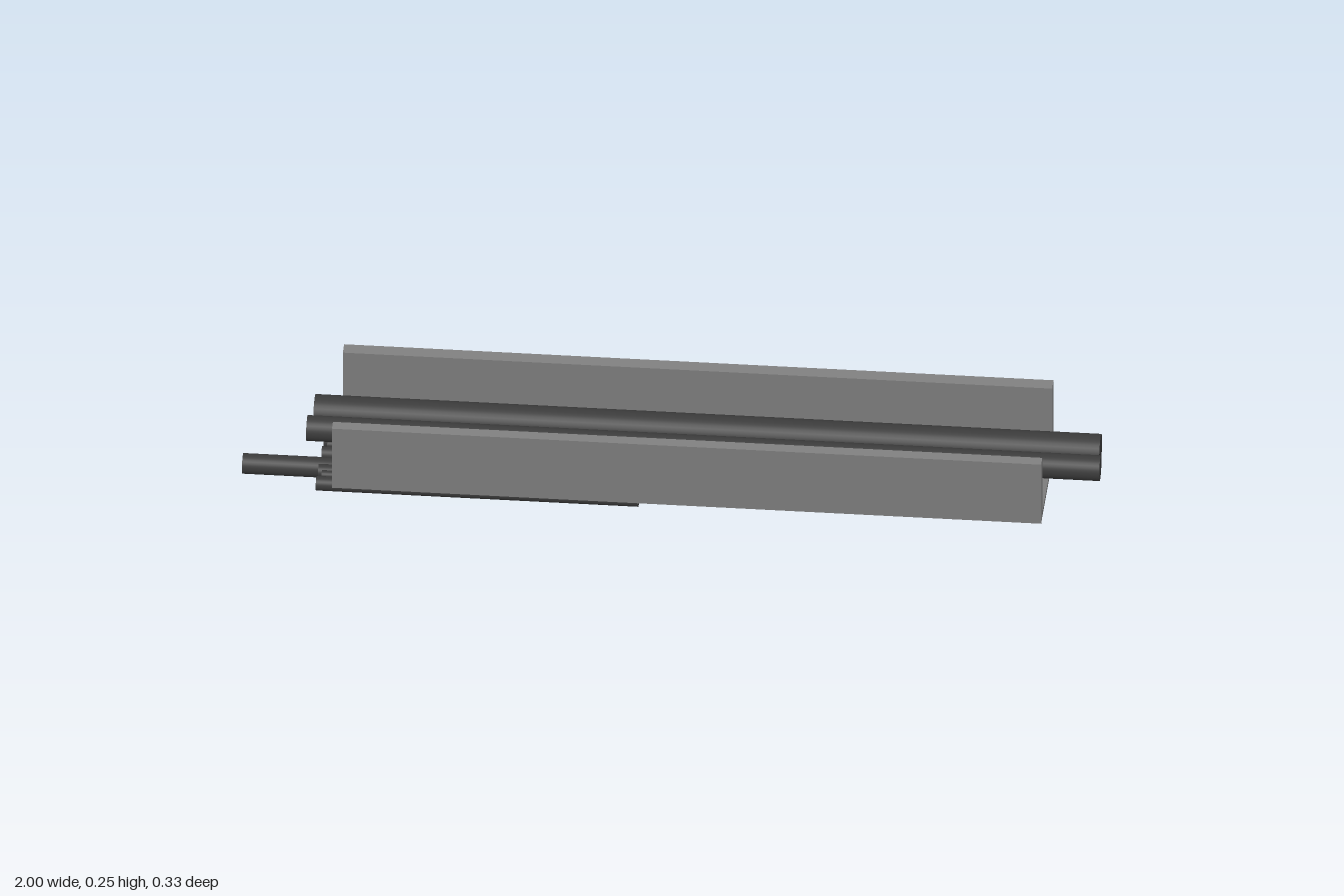
import * as THREE from 'three';

export function createModel() {
  const model = new THREE.Group();
  const panelMat = new THREE.MeshStandardMaterial({ color: 0x808080 });
  const rodMat = new THREE.MeshStandardMaterial({ color: 0x3c3c3c });

  // Straight bar running along x with a [z, y] cross-section
  function bar(name, section, x0, x1) {
    const shape = new THREE.Shape(section.map(([z, y]) => new THREE.Vector2(-z, y)));
    const geo = new THREE.ExtrudeGeometry(shape, { depth: x1 - x0, bevelEnabled: false });
    geo.rotateY(Math.PI / 2);
    geo.translate(x0, 0, 0);
    const mesh = new THREE.Mesh(geo, panelMat);
    mesh.name = name;
    model.add(mesh);
  }

  // Round rod running along x
  function rod(name, y, z, r, x0, x1) {
    const geo = new THREE.CylinderGeometry(r, r, x1 - x0, 32);
    geo.rotateZ(Math.PI / 2);
    const mesh = new THREE.Mesh(geo, rodMat);
    mesh.position.set((x0 + x1) / 2, y, z);
    mesh.name = name;
    model.add(mesh);
  }

  // Side walls
  const wall = (z0, z1) => [[z0, 0.08], [z1, 0.08], [z1, 0.25], [z0, 0.25]];
  bar('frontWall', wall(0.166, 0.139), -0.78, 0.87);
  bar('backWall', wall(-0.132, -0.165), -0.78, 0.87);

  // Sloping floor over part of the length, with a lip below the back wall
  bar('floor', [[0.139, 0.08], [-0.132, 0.038], [-0.132, 0.05], [0.139, 0.093]], -0.12, 0.87);
  bar('floorLip', [[-0.131, 0.038], [-0.138, 0.038], [-0.138, 0.08], [-0.131, 0.08]], -0.78, 0.87);

  // Two large pipes lying in the channel
  rod('frontPipe', 0.185, 0.08, 0.03, -0.845, 1);
  rod('backPipe', 0.142, -0.043, 0.041, -0.838, 0.99);

  // Bundle of rods under the floor: y, z, radius, start, end
  [
    [0.060, 0.124, 0.017, -0.82, -0.07],
    [0.041, 0.104, 0.011, -0.81, -0.09],
    [0.059, 0.089, 0.011, -0.81, -0.09],
    [0.049, 0.062, 0.017, -0.82, -0.07],
    [0.023, 0.054, 0.011, -0.81, -0.09],
    [0.027, 0.017, 0.024, -1, 0.09],
    [0.012, -0.013, 0.011, -0.81, -0.09],
    [0.033, -0.029, 0.017, -0.82, -0.07],
    [0.018, -0.050, 0.009, -0.81, -0.09],
    [0.033, -0.066, 0.011, -0.81, -0.09],
    [0.024, -0.093, 0.017, -0.82, -0.07],
  ].forEach((r, i) => rod(`lowerRod${i + 1}`, ...r));

  return model;
}
